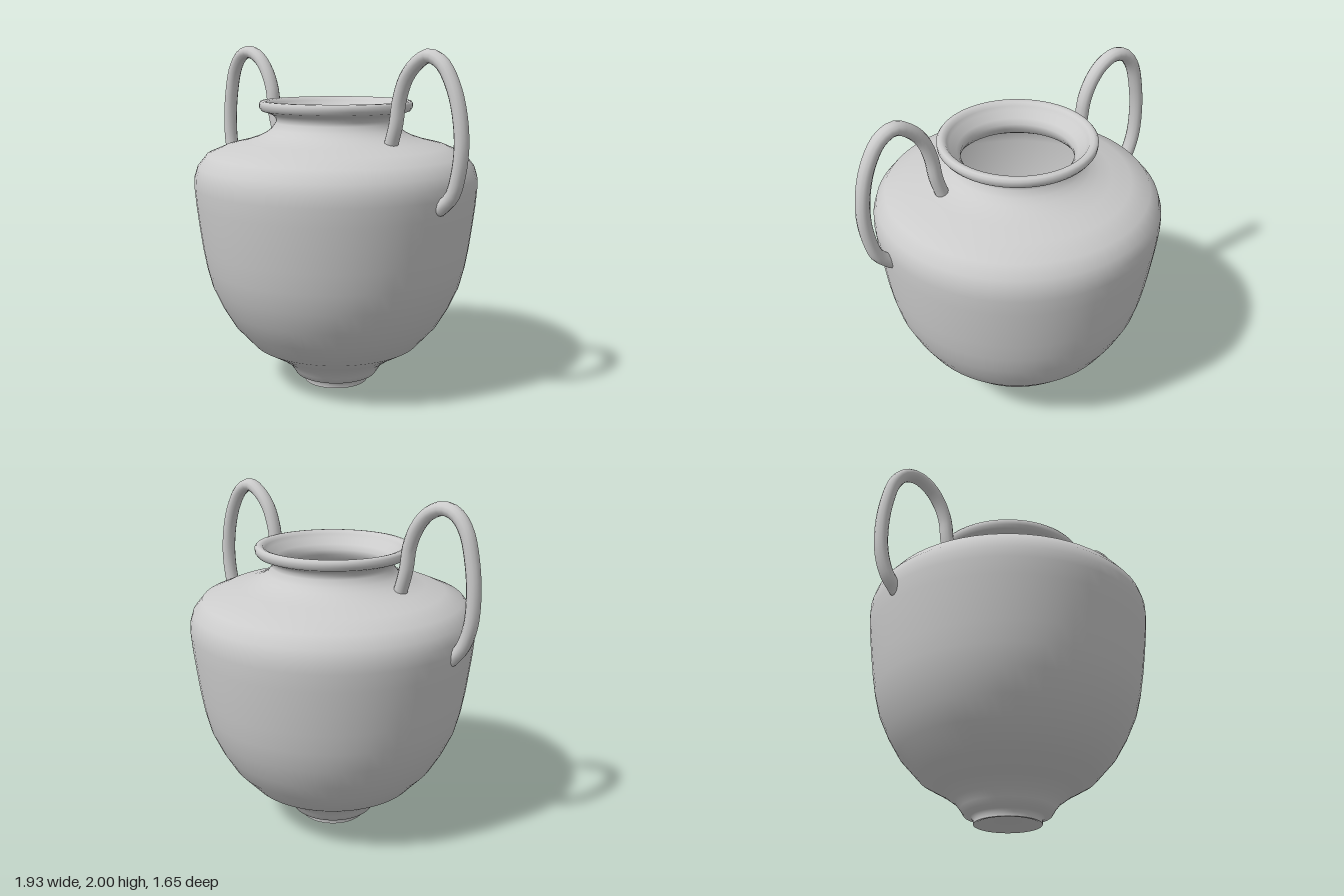
import * as THREE from 'three';
import { toCreasedNormals } from 'three/addons/utils/BufferGeometryUtils.js';

const material = new THREE.MeshStandardMaterial({ color: 0xcccccc, side: THREE.DoubleSide });

// Vessel profile as [radius, height]: underside, outer wall, rim, then down the inner wall
const underside = [[0, 0.02], [0.1, 0.018], [0.15, 0.01], [0.175, 0]];
const outerWall = [
  [0.19, 0], [0.19, 0.025], [0.205, 0.04], [0.245, 0.052], [0.265, 0.085], [0.295, 0.125], [0.37, 0.18],
  [0.5, 0.256], [0.615, 0.384], [0.68, 0.495], [0.735, 0.617], [0.765, 0.735], [0.785, 0.85], [0.802, 0.98],
  [0.816, 1.1], [0.824, 1.2], [0.822, 1.26], [0.803, 1.32], [0.75, 1.385], [0.64, 1.432], [0.53, 1.458],
  [0.455, 1.483], [0.41, 1.505], [0.375, 1.53], [0.35, 1.565], [0.347, 1.585], [0.365, 1.608],
];
const rim = [
  [0.395, 1.62], [0.43, 1.632], [0.443, 1.65], [0.445, 1.675], [0.435, 1.688], [0.418, 1.69],
  [0.4, 1.685], [0.388, 1.668], [0.375, 1.65],
];
const innerWall = [
  [0.335, 1.615], [0.315, 1.585], [0.318, 1.555], [0.345, 1.515], [0.42, 1.47], [0.52, 1.43], [0.63, 1.403],
  [0.73, 1.36], [0.785, 1.29], [0.792, 1.2], [0.772, 0.98], [0.735, 0.735], [0.705, 0.625], [0.585, 0.405],
  [0.48, 0.285], [0.355, 0.208], [0.27, 0.145], [0.235, 0.1], [0.215, 0.085], [0.17, 0.075], [0.165, 0.035], [0, 0.035],
];

// Handle centre lines as [x, y], from the belly up and over to the shoulder
const handlePaths = {
  leftHandle: [
    [0.8, 1.16], [0.87, 1.23], [0.907, 1.34], [0.925, 1.5], [0.905, 1.67], [0.86, 1.805], [0.79, 1.91],
    [0.705, 1.948], [0.625, 1.91], [0.553, 1.83], [0.508, 1.71], [0.487, 1.58], [0.457, 1.48],
  ],
  rightHandle: [
    [-0.81, 1.165], [-0.875, 1.245], [-0.918, 1.37], [-0.928, 1.53], [-0.91, 1.7], [-0.865, 1.86], [-0.8, 1.94],
    [-0.72, 1.962], [-0.63, 1.925], [-0.56, 1.845], [-0.515, 1.74], [-0.495, 1.605], [-0.46, 1.48],
  ],
};

function makeVessel() {
  const points = [...underside, ...outerWall, ...rim, ...innerWall].map(([r, y]) => new THREE.Vector2(r, y));
  const vessel = new THREE.Mesh(toCreasedNormals(new THREE.LatheGeometry(points, 64), 0.9), material);
  vessel.name = 'vessel';
  vessel.position.x = -0.012;
  return vessel;
}

function makeHandle(name, path) {
  const handle = new THREE.Group();
  handle.name = name;
  const points = path.map(([x, y]) => new THREE.Vector3(x, y, 0));
  const radius = 0.038;
  const bar = new THREE.Mesh(
    new THREE.TubeGeometry(new THREE.CatmullRomCurve3(points), 40, radius, 12), material);
  bar.name = name + 'Bar';
  handle.add(bar);

  // Rounded ends where the handle meets the wall
  for (const end of [points[0], points[points.length - 1]]) {
    const cap = new THREE.Mesh(new THREE.SphereGeometry(radius, 12, 8), material);
    cap.name = name + 'End';
    cap.position.copy(end);
    handle.add(cap);
  }
  handle.position.z = 0.047;
  handle.scale.z = 1.12;
  return handle;
}

export function createModel() {
  const model = new THREE.Group();
  model.name = 'twoHandledUrn';
  model.add(makeVessel());
  for (const [name, path] of Object.entries(handlePaths)) model.add(makeHandle(name, path));
  return model;
}
